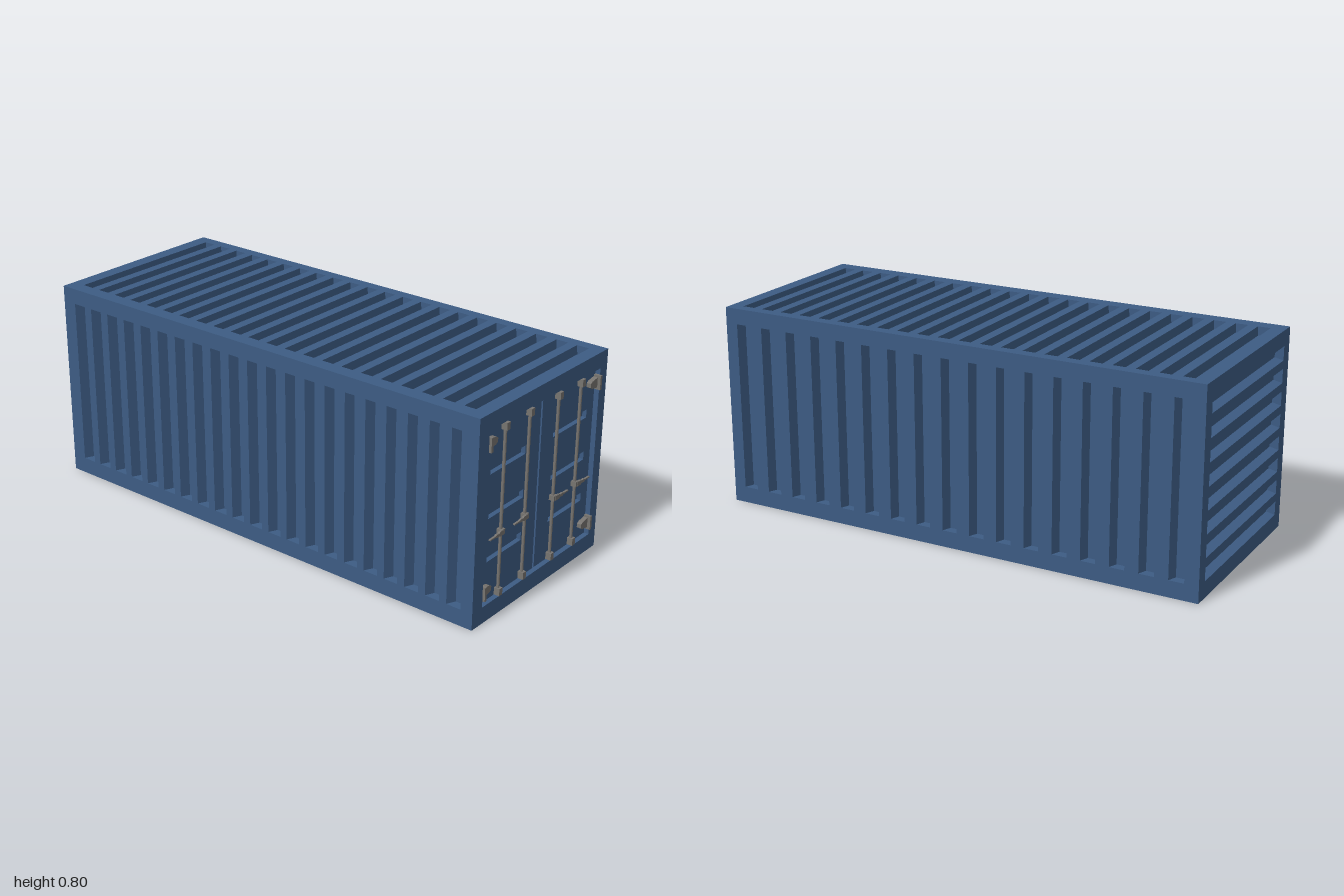
import * as THREE from 'three';

const paint = new THREE.MeshStandardMaterial({ color: 0x3d5c84, flatShading: true });
const steel = new THREE.MeshStandardMaterial({ color: 0x777470, flatShading: true });

// Flat panel facing +z with sunken pockets; each pocket has sloped walls and a floor.
// pocket: { x0, x1, y0, y1, depth, sx, sy, open } (sx, sy: wall slope widths)
function panel(name, x0, x1, y0, y1, pockets) {
  const pos = [];
  const rect = (a, b, c, d, z) => [[a, c, z], [b, c, z], [b, d, z], [a, d, z]];
  const quad = (a, b, c, d) => pos.push(...a, ...b, ...c, ...a, ...c, ...d);
  const shape = new THREE.Shape(rect(x0, x1, y0, y1, 0).map(p => new THREE.Vector2(p[0], p[1])));
  for (const { x0: a, x1: b, y0: c, y1: d, depth, sx = 0, sy = 0, open } of pockets) {
    const o = rect(a, b, c, d, 0);
    const i = rect(a + sx, b - sx, c + sy, d - sy, -depth);
    shape.holes.push(new THREE.Path([...o].reverse().map(p => new THREE.Vector2(p[0], p[1]))));
    for (let k = 0; k < 4; k++) quad(o[k], o[(k + 1) % 4], i[(k + 1) % 4], i[k]);
    if (!open) quad(...i);
  }
  pos.push(...new THREE.ShapeGeometry(shape).toNonIndexed().attributes.position.array);
  const geo = new THREE.BufferGeometry();
  geo.setAttribute('position', new THREE.Float32BufferAttribute(pos, 3));
  geo.computeVertexNormals();
  const mesh = new THREE.Mesh(geo, paint);
  mesh.name = name;
  return mesh;
}

// Evenly spaced grooves between two limits, running up (or across when flat is true)
function grooves(n, from, to, width, lo, hi, slope, flat) {
  const step = (to - from - width) / (n - 1);
  return Array.from({ length: n }, (_, i) => {
    const a = from + i * step, b = a + width;
    return flat
      ? { x0: lo, x1: hi, y0: a, y1: b, depth: 0.035, sy: slope }
      : { x0: a, x1: b, y0: lo, y1: hi, depth: 0.035, sx: slope };
  });
}

function part(name, geo, x, y, z, parent) {
  const mesh = new THREE.Mesh(geo, steel);
  mesh.name = name;
  mesh.position.set(x, y, z);
  parent.add(mesh);
  return mesh;
}

// Outline extruded forward along z
function plate(points, depth) {
  const shape = new THREE.Shape(points.map(p => new THREE.Vector2(...p)));
  return new THREE.ExtrudeGeometry(shape, { depth, bevelEnabled: false });
}

export function createModel() {
  const group = new THREE.Group();
  const X0 = -1, X1 = 0.99, H = 0.797, Z = 0.398, LO = 0.065, HI = 0.735;

  // Corrugated side walls
  const front = panel('frontWall', X0, X1, 0, H, grooves(21, -0.94, 0.94, 0.06, LO, HI, 0.016));
  front.position.z = Z;
  const back = panel('backWall', -X1, -X0, 0, H, grooves(17, -0.94, 0.945, 0.06, LO, HI, 0.014));
  back.rotation.y = Math.PI;
  back.position.z = -Z;

  // Corrugated roof
  const roof = panel('roof', X0, X1, -Z, Z, grooves(22, -0.945, 0.937, 0.05, -0.342, 0.355, 0.003));
  roof.rotation.x = -Math.PI / 2;
  roof.position.y = H;

  // Blind end with horizontal corrugation
  const end = panel('endWall', -Z, Z, 0, H, grooves(8, LO, HI, 0.055, -0.345, 0.345, 0.008, true));
  end.rotation.y = -Math.PI / 2;
  end.position.x = X0;

  // Underside with recessed floor
  const base = panel('underside', X0, X1, -Z, Z,
    [{ x0: -0.94, x1: 0.93, y0: -0.345, y1: 0.345, depth: 0.035 }]);
  base.rotation.x = Math.PI / 2;
  group.add(front, back, roof, end, base);

  // Door end: frame, then doors set back inside it
  const doorEnd = new THREE.Group();
  doorEnd.name = 'doorEnd';
  doorEnd.rotation.y = Math.PI / 2;
  doorEnd.position.x = X1;
  group.add(doorEnd);
  const L = -0.34, R = 0.353, SET = 0.02;
  doorEnd.add(panel('doorFrame', -Z, Z, 0, H,
    [{ x0: L, x1: R, y0: LO, y1: HI, depth: SET, open: true }]));
  const dents = [{ x0: 0.002, x1: 0.012, y0: LO + 0.001, y1: HI - 0.001, depth: 0.015 }];
  for (const y of [0.2325, 0.4, 0.5675])
    for (const [a, b] of [[-0.296, -0.085], [0.09, 0.31]])
      dents.push({ x0: a, x1: b, y0: y - 0.016, y1: y + 0.016, depth: 0.015, sx: 0.003, sy: 0.003 });
  const doors = panel('doors', L, R, LO, HI, dents);
  doors.position.z = -SET;
  doorEnd.add(doors);

  // Locking rods with end keepers, clamps and handles
  const handle = [[0, -0.009], [0.022, -0.009], [0.026, -0.005], [0.044, -0.006], [0.05, -0.003],
    [0.082, -0.002], [0.082, 0.002], [0.05, 0.003], [0.044, 0.006], [0.026, 0.005], [0.022, 0.009], [0, 0.009]];
  for (const [x, side] of [[-0.231, -1], [-0.083, -1], [0.098, 1], [0.243, 1]]) {
    part('lockRod', new THREE.CylinderGeometry(0.006, 0.006, 0.65, 12), x, 0.397, -0.01, doorEnd);
    for (const y of [0.08, 0.714])
      part('rodKeeper', new THREE.BoxGeometry(0.019, 0.028, 0.023), x, y, -0.0085, doorEnd);
    part('rodClamp', new THREE.BoxGeometry(0.02, 0.02, 0.022), x, 0.316, -0.009, doorEnd);
    const bar = part('lockHandle', plate(handle, 0.008), x, 0.316, -0.004, doorEnd);
    if (side < 0) bar.rotation.z = Math.PI;
  }

  // Hinges: upright plate and tapered tongue on both door edges
  const tongue = [[0.008, -0.02], [0.045, -0.014], [0.055, -0.008],
    [0.055, 0.008], [0.045, 0.014], [0.008, 0.02]];
  for (const [x, side] of [[L, 1], [R, -1]])
    for (const y of [0.118, 0.683]) {
      part('hingePlate', new THREE.BoxGeometry(0.011, 0.055, 0.028), x + side * 0.0055, y, -0.004, doorEnd);
      const leaf = part('hingeLeaf', plate(tongue, 0.018), x, y, -SET, doorEnd);
      if (side < 0) leaf.rotation.z = Math.PI;
    }
  return group;
}
